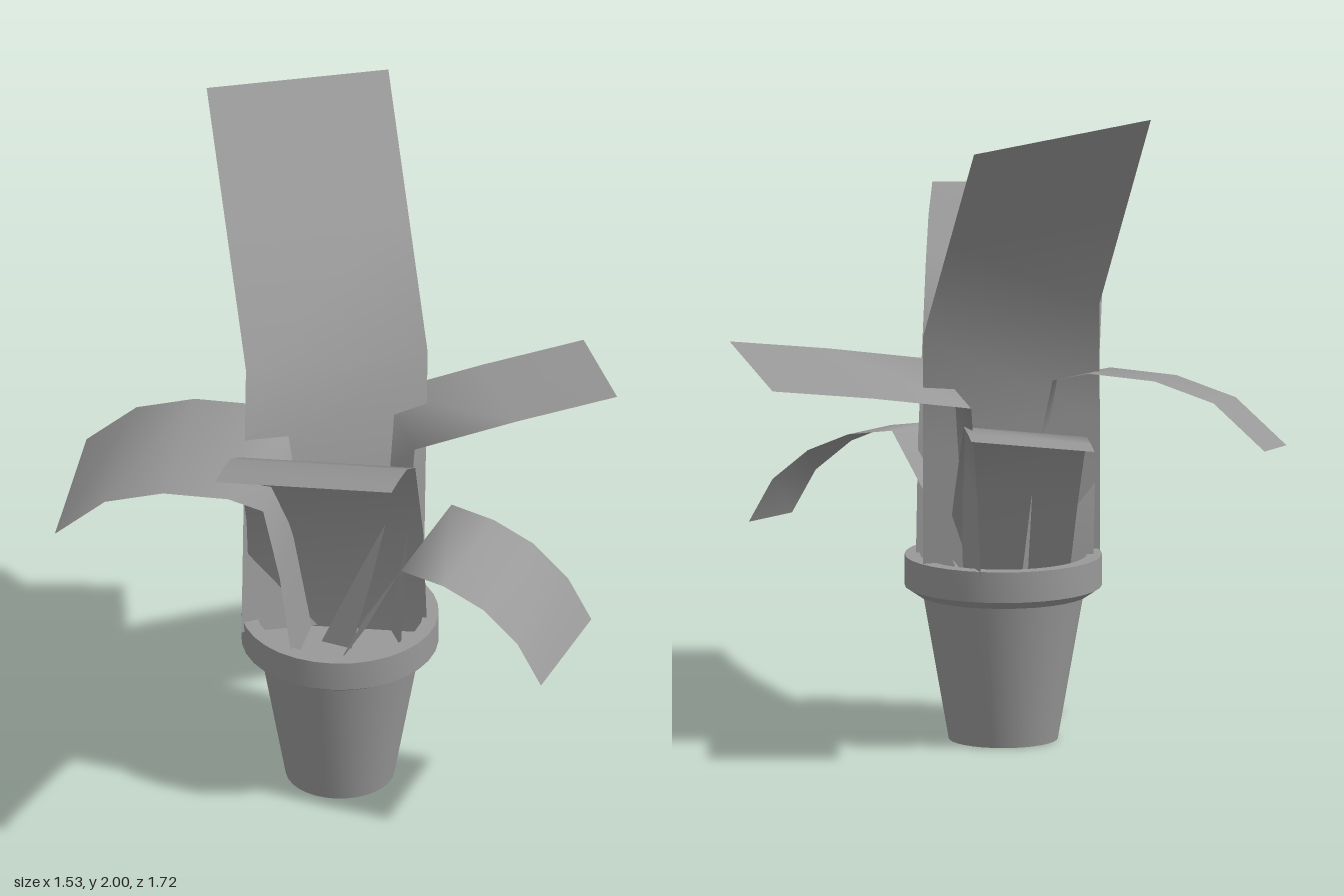
import * as THREE from 'three';
import { toCreasedNormals } from 'three/addons/utils/BufferGeometryUtils.js';

const grey = new THREE.MeshStandardMaterial({ color: 0x999999 });
const greyThin = new THREE.MeshStandardMaterial({ color: 0x999999, side: THREE.DoubleSide });

// Strip of constant width vector swept along centre points; taper narrows the last row
function strip(name, path, across, taper = 1) {
  const w = new THREE.Vector3(...across).multiplyScalar(0.5);
  const pos = [];
  const index = [];
  path.forEach((p, i) => {
    const c = new THREE.Vector3(...p);
    const k = 1 + (taper - 1) * i / (path.length - 1);
    for (const side of [-k, k]) pos.push(...c.clone().addScaledVector(w, side).toArray());
    if (i > 0) {
      const a = 2 * i - 2;
      index.push(a, a + 1, a + 3, a, a + 3, a + 2);
    }
  });
  const geo = new THREE.BufferGeometry();
  geo.setAttribute('position', new THREE.Float32BufferAttribute(pos, 3));
  geo.setIndex(index);
  geo.computeVertexNormals();
  const mesh = new THREE.Mesh(geo, greyThin);
  mesh.name = name;
  return mesh;
}

function createPot() {
  const pot = new THREE.Group();
  pot.name = 'pot';
  // Tapered wall, flared rim and inner wall
  const profile = [
    [0, 0], [0.163, 0], [0.24, 0.44], [0.258, 0.442], [0.295, 0.467],
    [0.295, 0.56], [0.25, 0.56], [0.24, 0.48],
  ].map(([r, y]) => new THREE.Vector2(r, y));
  const wall = new THREE.Mesh(toCreasedNormals(new THREE.LatheGeometry(profile, 32), 0.4), grey);
  wall.name = 'potWall';
  const soil = new THREE.Mesh(new THREE.CircleGeometry(0.245, 32), grey);
  soil.name = 'soil';
  soil.rotation.x = -Math.PI / 2;
  soil.position.y = 0.5;
  pot.add(wall, soil);
  pot.position.set(0.005, 0, 0.05);
  return pot;
}

export function createModel() {
  const model = new THREE.Group();
  model.name = 'pottedPlant';
  model.add(createPot());

  // Broad leaves: centre line from the soil to the tip, then the vector across the leaf
  const leaves = [
    ['frontLeftLeaf', [[0, 0.5, 0.05], [0.045, 0.9, 0.105], [0.13, 1.21, 0.21], [0.3, 1.36, 0.39],
      [0.45, 1.46, 0.55], [0.565, 1.525, 0.68]], [0.39, 0, -0.36]],
    ['tallLeaf', [[-0.03, 0.5, 0.05], [-0.1, 0.95, -0.02], [-0.16, 1.31, -0.08],
      [-0.4, 1.64, -0.21], [-0.64, 1.97, -0.34]], [0.205, -0.06, -0.54]],
    ['frontRightLeaf', [[-0.05, 0.5, 0.12], [-0.07, 0.85, 0.16], [-0.1, 1.09, 0.2], [-0.19, 1.115, 0.26],
      [-0.36, 1.1, 0.37], [-0.51, 1.04, 0.47], [-0.64, 0.9, 0.555]], [0.26, -0.065, 0.35]],
    ['leftLeaf', [[0.07, 0.5, 0.02], [0.18, 0.72, 0], [0.295, 0.92, -0.04], [0.42, 0.9, -0.1],
      [0.53, 0.845, -0.16], [0.63, 0.75, -0.21], [0.69, 0.617, -0.25]], [0.14, -0.035, 0.32]],
    ['backLeaf', [[0.05, 0.5, -0.085], [0.015, 0.83, -0.14], [-0.02, 1.115, -0.2],
      [0.12, 1.165, -0.48], [0.26, 1.205, -0.757]], [0.39, 0.07, 0.205]],
    ['backRightLeaf', [[-0.06, 0.5, 0], [-0.15, 0.76, -0.05], [-0.26, 0.99, -0.12],
      [-0.4, 1.003, -0.24], [-0.535, 1.016, -0.36]], [-0.26, -0.03, 0.26]],
  ];
  for (const [name, path, across] of leaves) model.add(strip(name, path, across));

  // Small pointed shoot in the middle of the pot
  model.add(strip('shoot', [[0.07, 0.5, 0.12], [0.13, 0.74, 0.065], [0.175, 0.93, 0.02]], [0.09, 0, -0.04], 0.02));
  return model;
}
